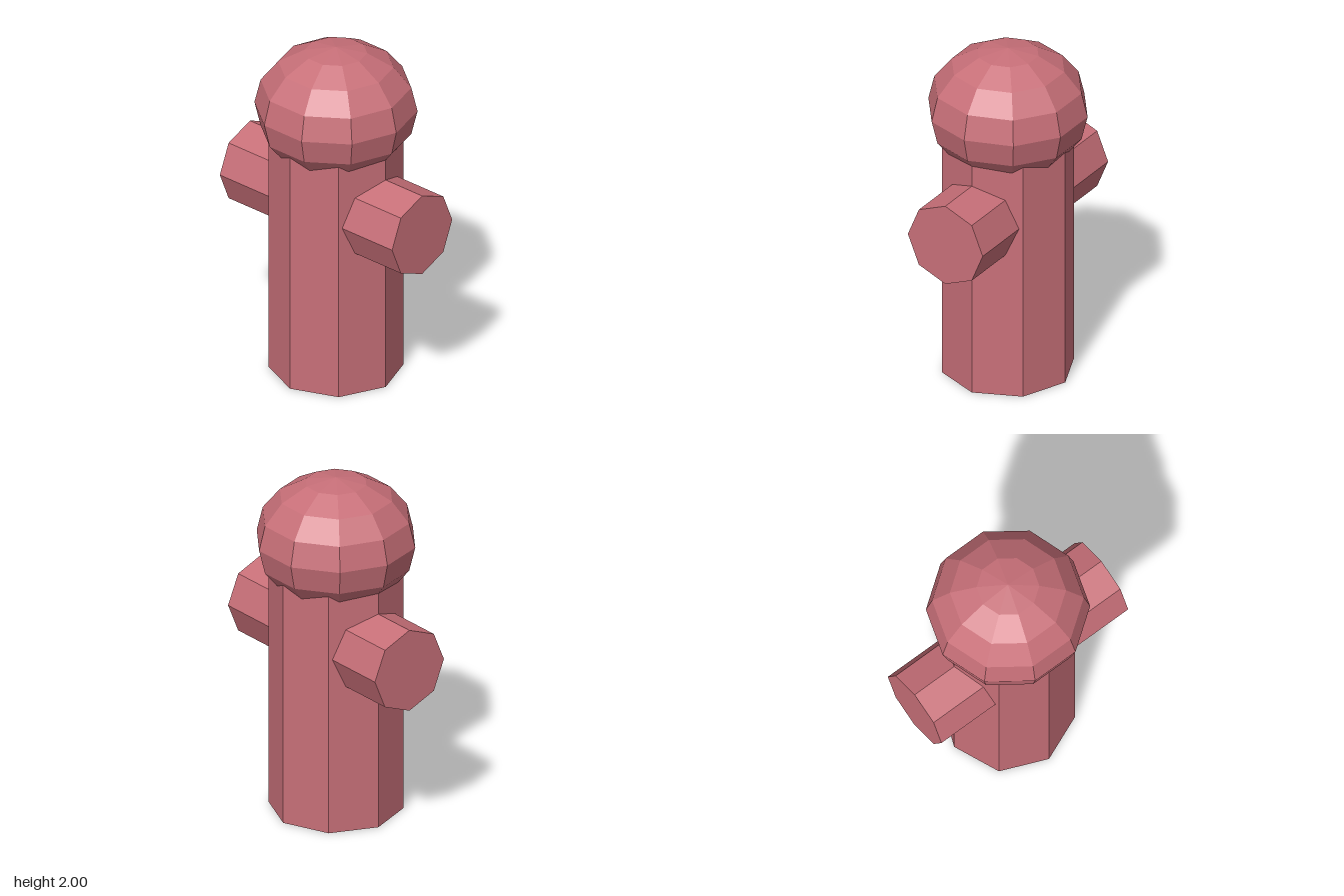
import * as THREE from 'three';

export function createModel() {
  const group = new THREE.Group();
  const material = new THREE.MeshStandardMaterial({ color: 0xc76f78, flatShading: true });

  const add = (name, geometry, x, y) => {
    const mesh = new THREE.Mesh(geometry, material);
    mesh.name = name;
    mesh.position.set(x, y, 0);
    group.add(mesh);
    return mesh;
  };

  // Octagonal post, its top hidden inside the cap
  const bodyHeight = 1.6;
  add('body', new THREE.CylinderGeometry(0.375, 0.375, bodyHeight, 8), 0, bodyHeight / 2);

  // Slightly flattened ten-sided dome
  add('cap', new THREE.SphereGeometry(0.455, 10, 8).scale(1, 0.375 / 0.455, 1), 0, 1.625);

  // Octagonal side outlets, rooted inside the post
  const reach = 0.65;
  for (const [name, side] of [['leftOutlet', 1], ['rightOutlet', -1]]) {
    const outlet = add(name, new THREE.CylinderGeometry(0.245, 0.245, reach, 8), side * reach / 2, 1.055);
    outlet.rotation.z = -side * Math.PI / 2;
  }

  return group;
}
